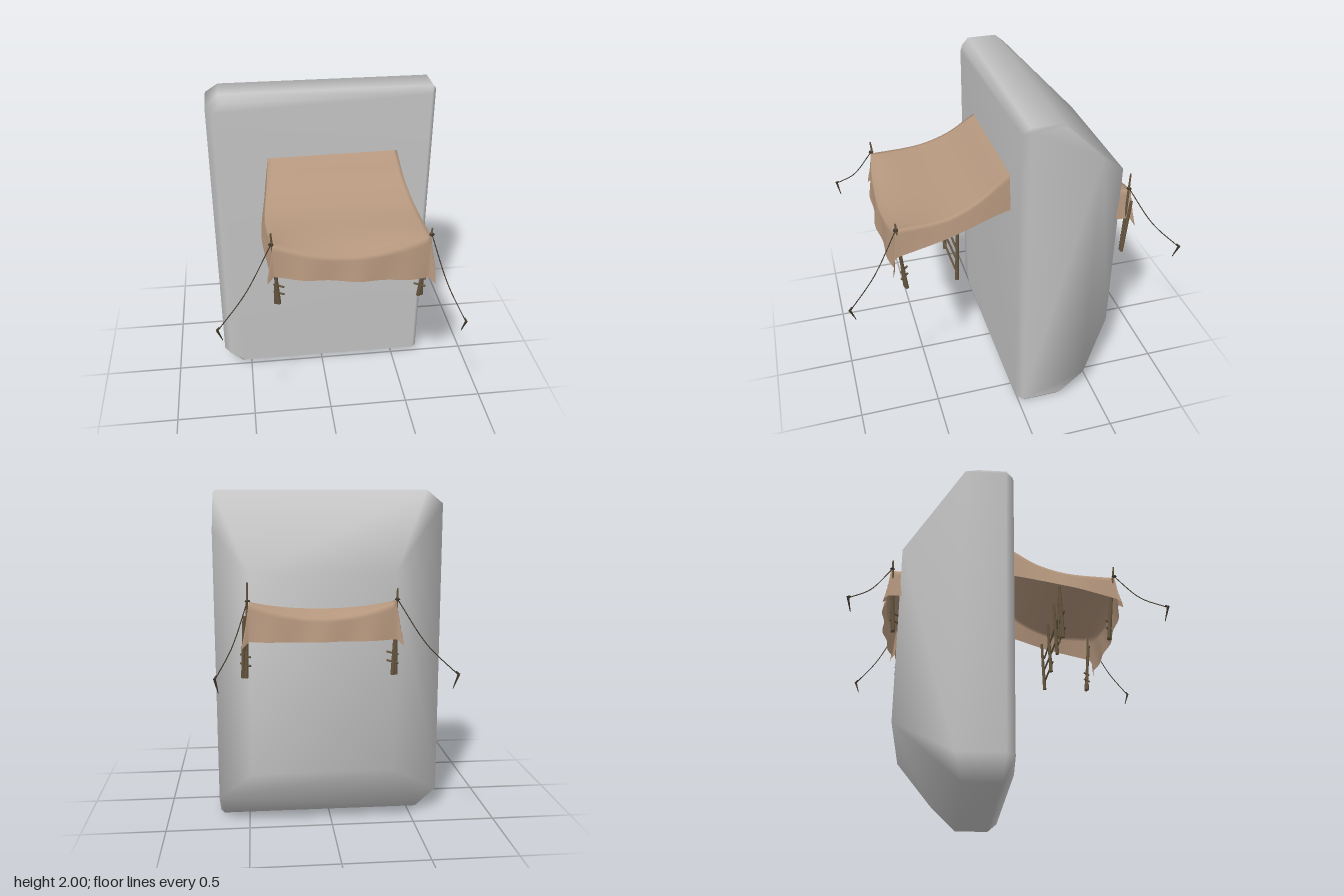
import * as THREE from 'three';
import { mergeVertices } from 'three/addons/utils/BufferGeometryUtils.js';
import { ConvexGeometry } from 'three/addons/geometries/ConvexGeometry.js';

const V = (x, y, z) => new THREE.Vector3(x, y, z);
const lerp = THREE.MathUtils.lerp;

// Smooth interpolation through [t, value] keys with rising t
function along(keys, t) {
  let i = 0;
  while (i < keys.length - 2 && t > keys[i + 1][0]) i++;
  const slope = (k) => {
    const a = keys[Math.max(k - 1, 0)], b = keys[Math.min(k + 1, keys.length - 1)];
    return (b[1] - a[1]) / (b[0] - a[0]);
  };
  const [t0, a] = keys[i], [t1, b] = keys[i + 1], d = t1 - t0;
  const s = THREE.MathUtils.clamp((t - t0) / d, 0, 1), s2 = s * s, s3 = s2 * s;
  return (2 * s3 - 3 * s2 + 1) * a + (s3 - 2 * s2 + s) * d * slope(i)
    + (3 * s2 - 2 * s3) * b + (s3 - s2) * d * slope(i + 1);
}

// Canopy outline, keyed by z
const topY = [[-0.72, 1.4], [-0.6, 1.4], [-0.4, 1.47], [-0.12, 1.66], [0.02, 1.6], [0.2, 1.475], [0.4, 1.405], [0.69, 1.405]];
const hemY = [[-0.72, 1.21], [-0.6, 1.22], [-0.2, 1.4], [0.02, 1.39], [0.35, 1.31], [0.69, 1.24]];
const leftX = [[-0.72, 0.48], [-0.3, 0.45], [0.02, 0.455], [0.4, 0.505], [0.69, 0.52]];
const rightX = [[-0.72, -0.33], [-0.3, -0.32], [0.02, -0.33], [0.4, -0.375], [0.69, -0.35]];

// One point of the cloth; |u| or |v| above 1 lies on the hanging hem
function clothPoint(u, v) {
  const cu = THREE.MathUtils.clamp(u, -1, 1), cv = THREE.MathUtils.clamp(v, -1, 1);
  const du = Math.abs(u - cu), dv = Math.abs(v - cv), front = v > 0;
  const z = lerp(-0.72, 0.69, (cv + 1) / 2), k = (cu + 1) / 2;
  const x = lerp(along(rightX, z), along(leftX, z), k);
  const bow = 1 - cu * cu;
  const end = Math.pow(Math.abs(cv), 6);
  const y = along(topY, z) - bow * end * 0.085 + 0.012 * k * (1 - Math.abs(cv));
  const hemEnd = front ? lerp(1.21, 1.14, k) : 1.19;
  const sideDrop = du * (y - along(hemY, z));
  const endDrop = dv * (y - hemEnd);
  const corner = du * dv;
  const ripple = 0.008 * Math.sin(cu * 9 + 1) * dv;
  return V(
    x + Math.sign(u) * (du * 0.025 + corner * 0.015),
    y - Math.max(sideDrop, endDrop) - corner * 0.035,
    z + Math.sign(v) * (bow * end * 0.035 + dv * 0.02 + corner * 0.02 + ripple)
  );
}

function clothGeometry() {
  const steps = [];
  for (let i = 0; i < 6; i++) steps.push(-2 + i / 6);
  for (let i = 0; i <= 40; i++) steps.push(-1 + i / 20);
  for (let i = 1; i <= 6; i++) steps.push(1 + i / 6);
  const n = steps.length, pos = [], idx = [];
  for (const v of steps) for (const u of steps) pos.push(...clothPoint(u, v).toArray());
  for (let j = 0; j < n - 1; j++) for (let i = 0; i < n - 1; i++) {
    const a = j * n + i, b = a + 1, c = a + n, d = c + 1;
    idx.push(a, c, b, b, c, d);
  }
  const g = new THREE.BufferGeometry();
  g.setAttribute('position', new THREE.Float32BufferAttribute(pos, 3));
  g.setIndex(idx);
  g.computeVertexNormals();
  return g;
}

// Bevelled slab with a tapering back
function blockGeometry() {
  const rings = [
    [-0.64, 0.12, 0.02], [-0.54, 0.05, 0.02], [0.65, 0.05, 0.02], [0.65, 1.96, 0.02], [-0.59, 1.96, 0.02], [-0.64, 1.9, 0.02],
    [-0.68, 0.13, -0.03], [-0.56, 0, -0.04], [0.66, 0, -0.04], [0.68, 0.03, -0.02], [0.68, 1.98, -0.02], [0.665, 2, -0.02], [-0.6, 2, -0.02], [-0.68, 1.92, -0.03],
    [-0.6, 2, -0.2], [0.665, 2, -0.2], [-0.68, 1.92, -0.28], [-0.68, 0.13, -0.3], [-0.56, 0, -0.26], [0.66, 0, -0.26], [0.68, 0.03, -0.28], [0.68, 1.98, -0.22],
    [0.68, 1.77, -0.43], [0.68, 0.17, -0.43],
    [-0.34, 1.55, -0.655], [0.48, 1.55, -0.655], [-0.34, 0.4, -0.655], [0.48, 0.4, -0.655]
  ];
  let g = new ConvexGeometry(rings.map((p) => V(...p)));
  g.deleteAttribute('normal');
  g.deleteAttribute('uv');
  g = mergeVertices(g, 1e-4);
  g.computeVertexNormals();
  return g;
}

export function createModel() {
  const mat = (name, color, side = THREE.FrontSide) => {
    const m = new THREE.MeshStandardMaterial({ color, side });
    m.name = name;
    return m;
  };
  const stone = mat('grey stone', 0xc4c4c4);
  const cloth = mat('tan cloth', 0xb4967d, THREE.DoubleSide);
  const wood = mat('brown wood', 0x66563f);
  const dark = mat('dark rope', 0x40372a);

  const model = new THREE.Group();
  const add = (name, geometry, material) => {
    const m = new THREE.Mesh(geometry, material);
    m.name = name;
    model.add(m);
    return m;
  };
  // Tapered round stick between two points
  const stick = (name, a, b, r0, r1, material) => {
    const dir = b.clone().sub(a);
    const m = add(name, new THREE.CylinderGeometry(r1, r0, dir.length(), 8), material);
    m.position.copy(a).addScaledVector(dir, 0.5);
    m.quaternion.setFromUnitVectors(V(0, 1, 0), dir.normalize());
  };

  add('block', blockGeometry(), stone);
  add('canopy', clothGeometry(), cloth);

  // Corner poles, knots, guy ropes and stakes: [pole top, pole foot, stake head]
  const corners = [
    [V(-0.36, 1.48, 0.685), V(-0.325, 0.98, 0.635), V(-0.67, 1.03, 0.905)],
    [V(0.525, 1.45, 0.685), V(0.485, 0.98, 0.65), V(0.667, 1.03, 0.985)],
    [V(-0.335, 1.47, -0.71), V(-0.32, 0.98, -0.685), V(-0.63, 1.03, -0.92)],
    [V(0.485, 1.51, -0.705), V(0.5, 0.98, -0.69), V(0.655, 1.05, -0.99)]
  ];
  for (const [top, foot, head] of corners) {
    const zs = Math.sign(foot.z), xs = Math.sign(foot.x);
    stick('cornerPole', foot, top, 0.013, 0.005, wood);
    stick('cornerBrace', foot.clone().add(V(xs * 0.018, 0, -zs * 0.005)), V(foot.x + xs * 0.005, 1.33, foot.z + zs * 0.03), 0.011, 0.009, wood);
    for (const y of [1.05, 1.1]) {
      stick('polePeg', V(foot.x - 0.025, y, foot.z - 0.02), V(foot.x + 0.03, y + 0.008, foot.z + 0.025), 0.006, 0.006, wood);
    }
    const tie = V(top.x, 1.41, top.z);
    const knot = add('knot', new THREE.TorusGeometry(0.01, 0.005, 6, 12), dark);
    knot.position.copy(tie);
    knot.rotation.x = Math.PI / 2;
    const mid = tie.clone().lerp(head, 0.5).add(V(0, -0.045, 0));
    add('guyRope', new THREE.TubeGeometry(new THREE.CatmullRomCurve3([tie, mid, head]), 20, 0.003, 5), dark);
    const out = V(head.x - tie.x, 0, head.z - tie.z).normalize();
    stick('stake', head.clone().addScaledVector(out, -0.025).add(V(0, -0.08, 0)), head.clone().addScaledVector(out, 0.005), 0.002, 0.007, dark);
    stick('stakeHook', head.clone().addScaledVector(out, -0.012).add(V(0, 0.015, 0)), head.clone().addScaledVector(out, 0.01), 0.005, 0.006, dark);
  }

  // Rail fence under the canopy
  for (const x of [-0.33, -0.09, 0.19, 0.505]) {
    stick('fencePost', V(x, 0.98, 0.35), V(x - 0.012, 1.33, 0.335), 0.012, 0.009, wood);
  }
  stick('thinPost', V(-0.215, 1.0, 0.345), V(-0.21, 1.32, 0.345), 0.006, 0.005, wood);
  const rails = [
    [-0.36, 1.04, -0.05, 1.045], [-0.35, 1.155, -0.07, 1.17], [-0.12, 1.105, 0.22, 1.125],
    [0.17, 1.13, 0.53, 1.145], [0.17, 1.045, 0.535, 1.05], [-0.12, 1.22, 0.52, 1.23]
  ];
  for (const [x0, y0, x1, y1] of rails) {
    stick('fenceRail', V(x0, y0, 0.36), V(x1, y1, 0.355), 0.007, 0.006, wood);
  }
  return model;
}
